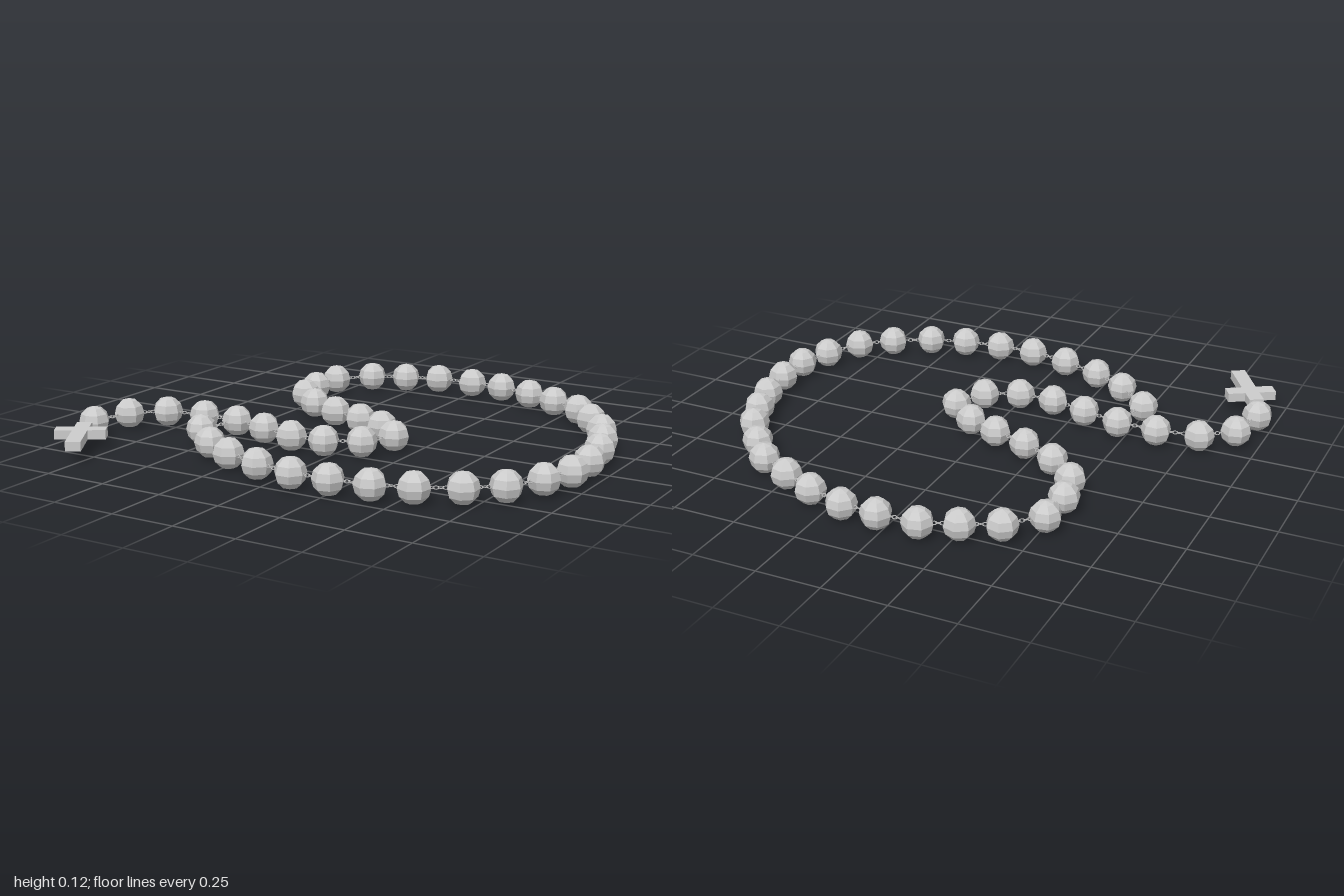
import * as THREE from 'three';

const Y = 0.062; // height of the strand's centre line
const R = 0.06;  // bead radius

// Bead centres (x, z) round the closed loop, starting at the junction bead
const LOOP = [
  [-0.47, 0.22], [-0.315, 0.26], [-0.165, 0.3], [-0.02, 0.3], [0.11, 0.24], [0.17, 0.105],
  [0.055, 0], [-0.075, -0.055], [-0.22, -0.105], [-0.365, -0.18], [-0.485, -0.295],
  [-0.52, -0.435], [-0.515, -0.59], [-0.405, -0.71], [-0.27, -0.77], [-0.135, -0.82],
  [0.025, -0.825], [0.17, -0.815], [0.325, -0.765], [0.465, -0.7], [0.605, -0.625],
  [0.705, -0.515], [0.805, -0.385], [0.865, -0.255], [0.91, -0.12], [0.94, 0.045],
  [0.94, 0.2], [0.895, 0.335], [0.82, 0.475], [0.705, 0.57], [0.56, 0.65], [0.415, 0.695],
  [0.26, 0.715], [0.105, 0.715], [-0.06, 0.68], [-0.225, 0.62], [-0.37, 0.535], [-0.51, 0.4],
];
// Bead centres of the pendant strand, leading away from the junction
const TAIL = [[-0.63, 0.215], [-0.795, 0.24], [-0.91, 0.34], [-0.945, 0.51]];
const CROSS_TOP = [-0.9, 0.605];

export function createModel() {
  const model = new THREE.Group();
  const beadMat = new THREE.MeshStandardMaterial({ color: 0xcccccc, flatShading: true });
  const metal = new THREE.MeshStandardMaterial({ color: 0xcccccc });
  const beadGeo = new THREE.SphereGeometry(R, 7, 6);
  const linkGeo = new THREE.TorusGeometry(0.0065, 0.0018, 4, 8).scale(1.5, 1, 1);

  const beads = new THREE.Group();
  beads.name = 'beads';
  const chain = new THREE.Group();
  chain.name = 'chain';

  const addBead = ([x, z], [nx, nz]) => {
    const bead = new THREE.Mesh(beadGeo, beadMat);
    bead.name = 'bead';
    bead.position.set(x, Y, z);
    bead.rotation.y = Math.atan2(z - nz, nx - x);
    beads.add(bead);
  };

  // Interlocking links, every other one turned a quarter about the strand
  const addChain = ([ax, az], [bx, bz], endInset = R) => {
    const length = Math.hypot(bx - ax, bz - az);
    const start = R - 0.01, end = length - endInset + 0.01;
    const count = Math.max(2, Math.round((end - start) / 0.015));
    for (let i = 0; i < count; i++) {
      const t = (start + (end - start) * (i + 0.5) / count) / length;
      const link = new THREE.Mesh(linkGeo, metal);
      link.name = 'chainLink';
      link.rotation.order = 'YXZ';
      link.rotation.set(Math.PI / 4 + (i % 2) * Math.PI / 2, Math.atan2(az - bz, bx - ax), 0);
      link.position.set(ax + (bx - ax) * t, Y, az + (bz - az) * t);
      chain.add(link);
    }
  };

  LOOP.forEach((p, i) => {
    const next = LOOP[(i + 1) % LOOP.length];
    addBead(p, next);
    addChain(p, next);
  });
  TAIL.forEach((p, i) => {
    addBead(p, TAIL[i + 1] ?? CROSS_TOP);
    addChain(i ? TAIL[i - 1] : LOOP[0], p);
  });
  addChain(TAIL[TAIL.length - 1], CROSS_TOP, 0);

  // Cross: one extruded outline, lying flat with its foot pointing outwards
  const w = 0.029, arm = 0.097, top = 0.094, foot = 0.196, thick = 0.036;
  const outline = new THREE.Shape([
    [-w, -foot], [w, -foot], [w, -w], [arm, -w], [arm, w], [w, w],
    [w, top], [-w, top], [-w, w], [-arm, w], [-arm, -w], [-w, -w],
  ].map(([x, y]) => new THREE.Vector2(x, y)));
  const crossGeo = new THREE.ExtrudeGeometry(outline, { depth: thick, bevelEnabled: false });
  crossGeo.translate(0, 0, -thick / 2).rotateX(-Math.PI / 2);
  const cross = new THREE.Mesh(crossGeo, metal);
  cross.name = 'cross';
  cross.position.set(-0.863, 0.065, 0.687);
  cross.rotation.y = Math.atan2(0.527, 0.85);

  model.add(beads, chain, cross);
  return model;
}
